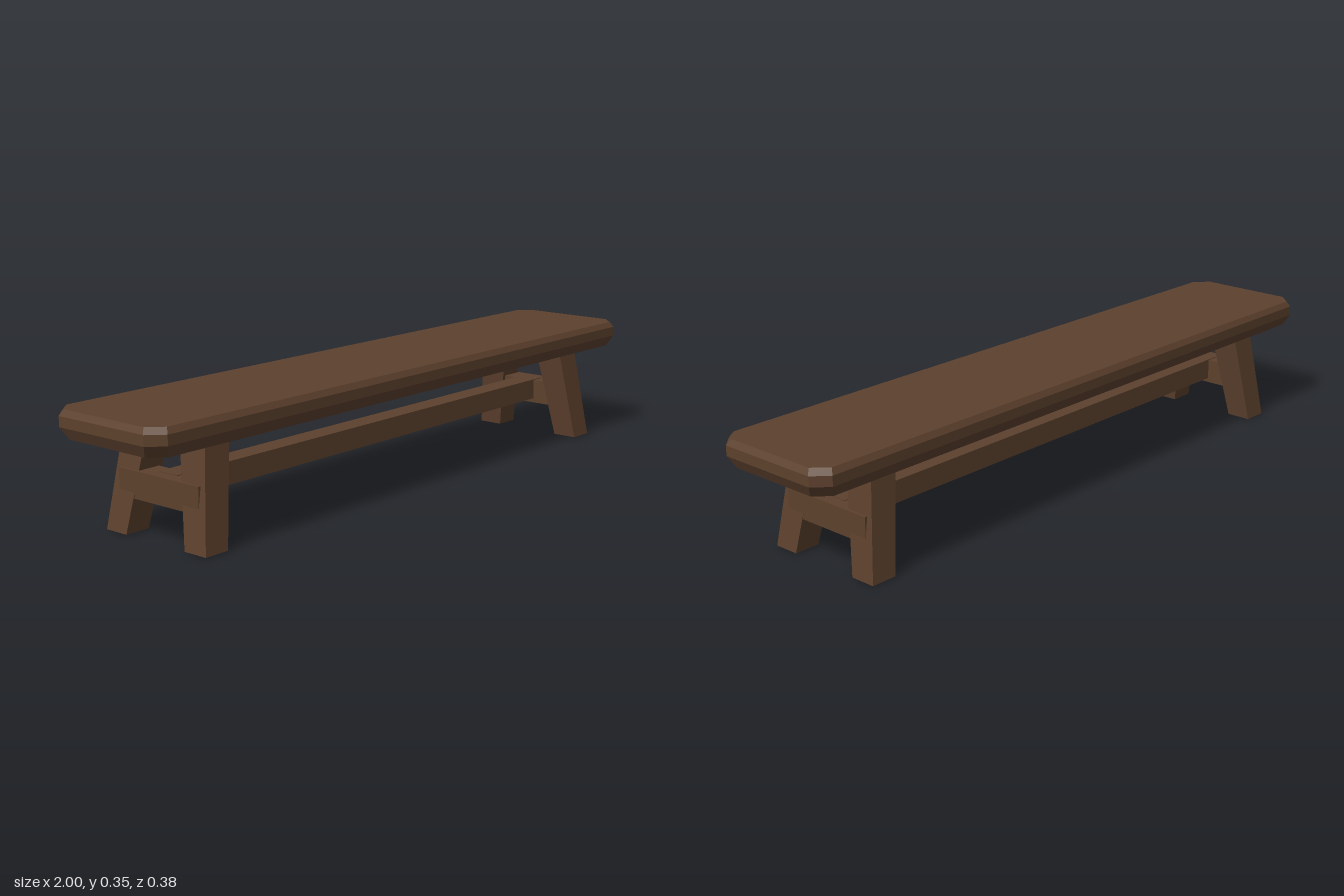
import * as THREE from 'three';

// Joins stacked loops of points [x, y, z] (counter-clockwise seen from above) into a flat-shaded skin.
function loft(loops, capped) {
  const pos = [];
  const tri = (a, b, c) => pos.push(...a, ...b, ...c);
  const n = loops[0].length;
  for (let k = 0; k < loops.length - 1; k++) {
    const lo = loops[k], hi = loops[k + 1];
    for (let i = 0; i < n; i++) {
      const j = (i + 1) % n;
      tri(lo[i], lo[j], hi[j]);
      tri(lo[i], hi[j], hi[i]);
    }
  }
  if (capped) {
    const bottom = loops[0], top = loops[loops.length - 1];
    for (let i = 1; i < n - 1; i++) {
      tri(bottom[0], bottom[i + 1], bottom[i]);
      tri(top[0], top[i], top[i + 1]);
    }
  }
  const geo = new THREE.BufferGeometry();
  geo.setAttribute('position', new THREE.Float32BufferAttribute(pos, 3));
  geo.computeVertexNormals();
  return geo;
}

// Rectangle with cut corners at height y.
function octagon(y, inset) {
  const x = 1 - inset, z = 0.192 - inset, cx = 0.96 - inset * 0.8, cz = 0.153 - inset;
  return [[x, y, cz], [x, y, -cz], [cx, y, -z], [-cx, y, -z],
    [-x, y, -cz], [-x, y, cz], [-cx, y, z], [cx, y, z]];
}

// Rectangle at height y between two x and two z limits.
function rectangle(y, x0, x1, z0, z1) {
  return [[x1, y, z1], [x1, y, z0], [x0, y, z0], [x0, y, z1]];
}

export function createModel() {
  const group = new THREE.Group();
  const wood = new THREE.MeshStandardMaterial({
    name: 'darkWood', color: 0x5d412d, flatShading: true, side: THREE.DoubleSide });
  const add = (name, geometry) => {
    const mesh = new THREE.Mesh(geometry, wood);
    mesh.name = name;
    group.add(mesh);
    return mesh;
  };

  // Seat plank with bevelled edges and cut corners
  add('seat', loft([octagon(0.27, 0.017), octagon(0.302, 0),
    octagon(0.33, 0), octagon(0.346, 0.01)], true));

  // Splayed legs: hollow, open at the foot
  for (const sx of [1, -1]) {
    for (const sz of [1, -1]) {
      const section = (y, x0, x1, z0, z1) => rectangle(y,
        Math.min(sx * x0, sx * x1), Math.max(sx * x0, sx * x1),
        Math.min(sz * z0, sz * z1), Math.max(sz * z0, sz * z1));
      add((sz > 0 ? 'front' : 'back') + (sx > 0 ? 'Left' : 'Right') + 'Leg', loft([
        section(0, 0.765, 0.84, 0.107, 0.182),
        section(0.272, 0.72, 0.802, 0.06, 0.148)], false));
    }
    // Cross rail joining each pair of legs
    add(sx > 0 ? 'leftCrossRail' : 'rightCrossRail', new THREE.BoxGeometry(0.075, 0.073, 0.29))
      .position.set(sx * 0.787, 0.1315, 0);
  }

  // Long rail between the two cross rails
  add('longRail', new THREE.BoxGeometry(1.58, 0.062, 0.066)).position.set(0, 0.139, 0);

  return group;
}
